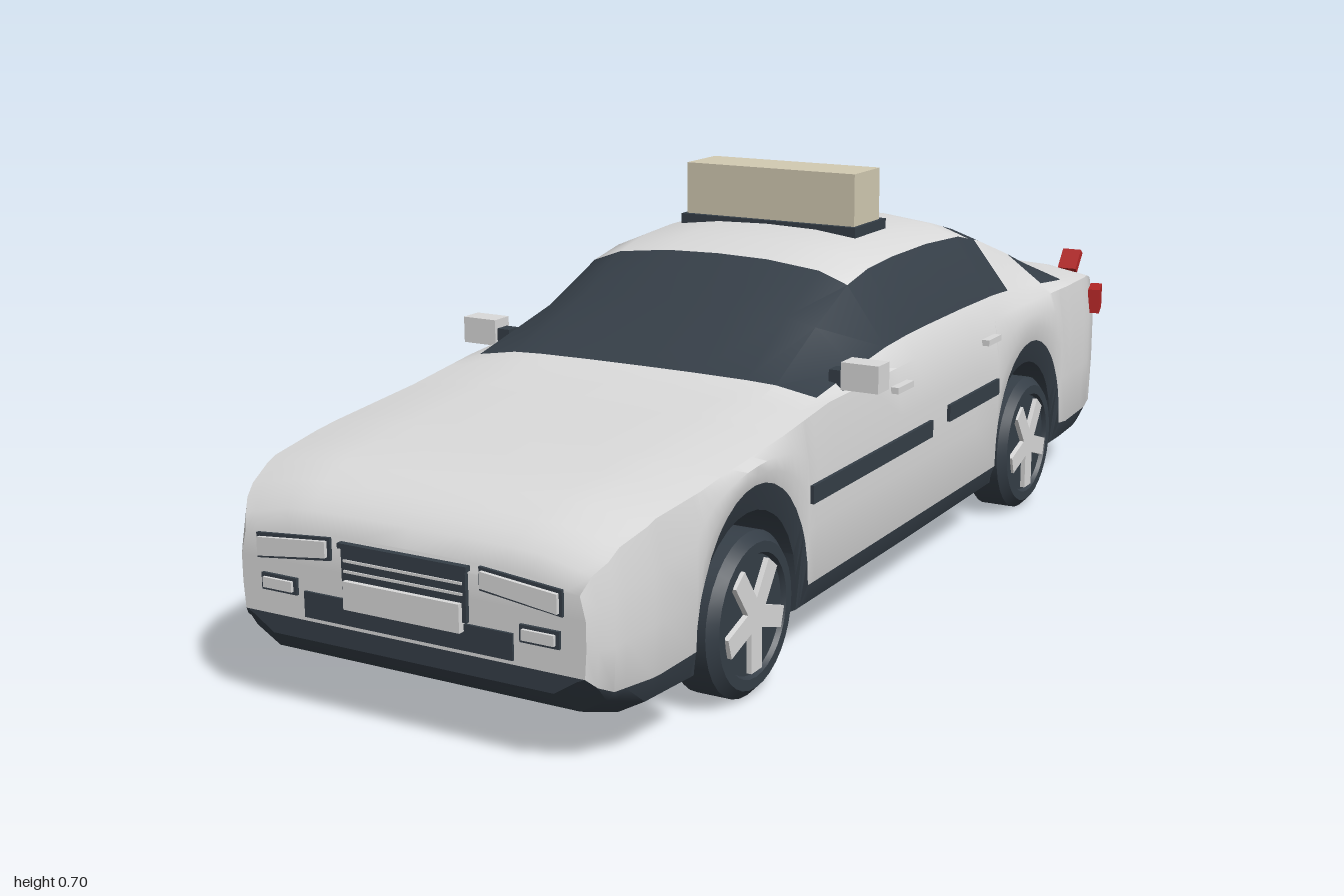
import * as THREE from 'three';
import { toCreasedNormals } from 'three/addons/utils/BufferGeometryUtils.js';

const mat = (name, color) => Object.assign(new THREE.MeshStandardMaterial({ color }), { name });

// Piecewise interpolation over [z, value] pairs, z ascending
function at(table, z) {
  let i = 1;
  while (i < table.length - 1 && z > table[i][0]) i++;
  const [z0, v0] = table[i - 1], [z1, v1] = table[i];
  return v0 + (v1 - v0) * THREE.MathUtils.clamp((z - z0) / (z1 - z0), 0, 1);
}

// Body profiles along the length
const WIDTH = [[-0.975, 0.315], [-0.95, 0.34], [-0.88, 0.355], [-0.75, 0.362], [0.75, 0.362], [0.88, 0.35], [0.95, 0.33], [0.985, 0.305]];
const BOTTOM = [[-0.975, 0.13], [-0.95, 0.09], [-0.86, 0.065], [0, 0.06], [0.88, 0.062], [0.95, 0.085], [0.985, 0.12]];
const TOP = [[-0.975, 0.39], [-0.95, 0.415], [-0.9, 0.425], [-0.85, 0.43], [-0.78, 0.445], [-0.65, 0.502], [-0.5, 0.562], [-0.4, 0.59],
  [-0.25, 0.601], [-0.1, 0.601], [0, 0.594], [0.08, 0.575], [0.2, 0.511], [0.34, 0.425], [0.4, 0.413], [0.5, 0.402], [0.7, 0.388],
  [0.86, 0.372], [0.93, 0.35], [0.97, 0.318], [0.985, 0.29]];
const BELT = [[-0.975, 0.365], [-0.95, 0.392], [-0.9, 0.405], [-0.5, 0.412], [0.34, 0.405], [0.5, 0.386], [0.7, 0.37], [0.86, 0.352], [0.93, 0.328], [0.97, 0.295], [0.985, 0.27]];
const AXLES = [0.6, -0.535];
const ARCH = 0.175, ARCH_IN = 0.16;

function archY(z, half, height) {
  let y = 0;
  for (const a of AXLES) {
    const d = (z - a) / half;
    if (Math.abs(d) < 1) y = 0.13 + height * Math.sqrt(1 - d * d);
  }
  return y;
}

// One half of the cross-section, from bottom centre to top centre
function section(z) {
  const w = at(WIDTH, z), b = at(BOTTOM, z), t = at(TOP, z), belt = at(BELT, z);
  const inner = archY(z, ARCH_IN, 0.16);
  const sill = Math.max(0.125, b + 0.03, archY(z, ARCH, 0.205));
  const floor = Math.max(b, inner), h = t - belt, k = w / 0.362;
  return [
    [0, floor], [0.82 * w, floor], [0.95 * w, Math.max(b + 0.025, inner)], [0.99 * w, sill],
    [w, sill + (belt - sill) * 0.35], [w, sill + (belt - sill) * 0.7], [0.97 * w, belt],
    [0.328 * k, belt + 0.2 * h], [0.255 * k, belt + 0.8 * h], [0.2 * k, belt + 0.92 * h], [0.1 * k, belt + 0.985 * h], [0, t],
  ];
}

function bodyGeometry() {
  let zs = [0.34, 0.08, -0.45, -0.48, -0.66, -0.78];
  for (const t of [WIDTH, TOP, BELT]) zs.push(...t.map(p => p[0]));
  for (const a of AXLES) {
    for (let i = 0; i <= 18; i++) zs.push(a - ARCH * Math.cos(i / 18 * Math.PI));
    for (const s of [-1, 1]) zs.push(a + s * 0.1605, a + s * 0.1595);
  }
  zs = zs.sort((p, q) => p - q).filter((z, i, all) => !i || z - all[i - 1] > 0.0004);
  const pos = [], faces = [[], []];
  for (const z of zs) {
    const half = section(z);
    const ring = [...half, ...half.slice(1, -1).reverse().map(([x, y]) => [-x, y])];
    for (const [x, y] of ring) pos.push(x, y, z);
  }
  const n = 22;
  // 0 is paint, 1 is dark trim and glass
  const colourOf = (j, z) => {
    if (j < 3) return 1;
    if (j === 7) return (z > -0.48 && z < 0.34) || (z > -0.78 && z < -0.66) ? 1 : 0;
    if (j > 7) return (z > 0.08 && z < 0.34) || (z > -0.78 && z < -0.45) ? 1 : 0;
    return 0;
  };
  for (let s = 0; s < zs.length - 1; s++) for (let i = 0; i < n; i++) {
    const j = i < 11 ? i : 21 - i, i2 = (i + 1) % n;
    const a = s * n + i, b = s * n + i2, c = b + n, d = a + n;
    faces[colourOf(j, (zs[s] + zs[s + 1]) / 2)].push(a, b, c, a, c, d);
  }
  // Nose and tail caps, laid in horizontal strips
  for (const [base, front] of [[0, false], [(zs.length - 1) * n, true]]) for (let j = 0; j < 11; j++) {
    const r0 = base + j, r1 = base + j + 1, l0 = base + (n - j) % n, l1 = base + n - j - 1;
    const tris = [[r0, r1, l1], [r0, l1, l0]];
    for (const [p, q, r] of tris) {
      if (new Set([p, q, r]).size === 3) faces[j < 3 ? 1 : 0].push(...(front ? [p, q, r] : [p, r, q]));
    }
  }
  const g = new THREE.BufferGeometry();
  g.setAttribute('position', new THREE.Float32BufferAttribute(pos, 3));
  g.setIndex([...faces[0], ...faces[1]]);
  g.addGroup(0, faces[0].length, 0);
  g.addGroup(faces[0].length, faces[1].length, 1);
  return toCreasedNormals(g, 0.65);
}

export function createModel() {
  const car = new THREE.Group();
  car.name = 'car';
  const paint = mat('white paint', 0xd9d9d9);
  const dark = mat('dark trim and glass', 0x353e47);
  const red = mat('red lamp', 0xb32626);
  const beige = mat('beige sign', 0xd2cab2);

  const add = (name, geo, m, parent = car) => {
    const mesh = new THREE.Mesh(geo, m);
    mesh.name = name;
    parent.add(mesh);
    return mesh;
  };
  // Box given by its limits on each axis
  const box = (name, m, [x0, x1], [y0, y1], [z0, z1]) => {
    const mesh = add(name, new THREE.BoxGeometry(x1 - x0, y1 - y0, z1 - z0), m);
    mesh.position.set((x0 + x1) / 2, (y0 + y1) / 2, (z0 + z1) / 2);
    return mesh;
  };
  const mirrored = (s, a, b) => s > 0 ? [a, b] : [-b, -a];

  add('body', bodyGeometry(), [paint, dark]);

  // Roof sign
  box('signBase', dark, [-0.18, 0.18], [0.585, 0.607], [-0.235, -0.105]);
  box('roofSign', beige, [-0.173, 0.173], [0.607, 0.702], [-0.22, -0.115]);

  // Grille, intake and front plate
  box('bumperIntake', dark, [-0.185, 0.185], [0.157, 0.197], [0.975, 0.989]);
  box('grille', dark, [-0.11, 0.11], [0.2, 0.278], [0.975, 0.992]);
  box('grilleLip', dark, [-0.114, 0.114], [0.276, 0.284], [0.97, 0.995]);
  for (const y of [0.242, 0.258]) box('grilleBar', paint, [-0.105, 0.105], [y - 0.002, y + 0.002], [0.985, 0.994]);
  box('frontPlate', paint, [-0.103, 0.103], [0.186, 0.229], [0.985, 1.0]);

  // Rear plate and bumper insert
  box('rearPlateFrame', dark, [-0.108, 0.108], [0.222, 0.278], [-0.981, -0.97]);
  box('rearPlate', paint, [-0.1, 0.1], [0.229, 0.271], [-0.986, -0.975]);
  box('rearBumperInsert', dark, [-0.26, 0.26], [0.15, 0.192], [-0.986, -0.965]);

  // Slanted headlamp outline, widened by a margin
  const lampGeo = (s, e, depth) => {
    const pts = [[0.137 - e, 0.257 - e], [0.265 + e, 0.241 - e], [0.265 + e, 0.27 + e], [0.137 - e, 0.282 + e]];
    return new THREE.ExtrudeGeometry(new THREE.Shape(pts.map(([x, y]) => new THREE.Vector2(x * s, y))), { depth, bevelEnabled: false });
  };

  for (const s of [1, -1]) {
    const side = s > 0 ? 'left' : 'right';
    const X = (a, b) => mirrored(s, a, b);
    add(side + 'HeadlampFrame', lampGeo(s, 0.005, 0.03), dark).position.z = 0.96;
    add(side + 'Headlamp', lampGeo(s, 0, 0.03), paint).position.z = 0.966;
    box(side + 'FogLampFrame', dark, X(0.198, 0.264), [0.188, 0.214], [0.975, 0.99]);
    box(side + 'FogLamp', paint, X(0.204, 0.258), [0.193, 0.209], [0.98, 0.995]);

    // Door mirrors, handles and mouldings
    box(side + 'Mirror', paint, X(0.34, 0.407), [0.41, 0.456], [0.235, 0.277]);
    box(side + 'MirrorStalk', dark, X(0.315, 0.342), [0.405, 0.44], [0.242, 0.27]);
    box(side + 'FrontMoulding', dark, X(0.355, 0.368), [0.26, 0.29], [-0.04, 0.425]);
    box(side + 'RearMoulding', dark, X(0.355, 0.368), [0.27, 0.3], [-0.35, -0.115]);
    box(side + 'FrontHandle', paint, X(0.345, 0.369), [0.37, 0.381], [0.05, 0.113]);
    box(side + 'RearHandle', paint, X(0.345, 0.369), [0.374, 0.385], [-0.35, -0.29]);

    // Tail lamps and the small raised lamps on the boot edge
    box(side + 'TailLamp', red, X(0.185, 0.312), [0.318, 0.372], [-0.986, -0.965]);
    const corner = box(side + 'CornerLamp', red, X(0.335, 0.359), [0.325, 0.375], [-0.977, -0.9]);
    corner.rotation.y = s * 0.27;
    const post = box(side + 'BootLamp', red, X(0.255, 0.295), [0.395, 0.443], [-0.985, -0.971]);
    post.rotation.x = -0.7;
  }

  // Wheels: bevelled tyre, recessed disc and five-spoke hub
  const tyreGeo = toCreasedNormals(new THREE.LatheGeometry([
    [0, -0.045], [0.11, -0.045], [0.13, -0.03], [0.13, 0.03], [0.115, 0.045], [0.098, 0.045], [0.094, 0.037], [0, 0.037],
  ].map(([x, y]) => new THREE.Vector2(x, y)), 32), 0.5);
  const spokeGeo = new THREE.BoxGeometry(0.034, 0.012, 0.088).translate(0, 0.04, 0.044);
  for (const z of AXLES) for (const s of [1, -1]) {
    const wheel = new THREE.Group();
    wheel.name = (z > 0 ? 'front' : 'rear') + (s > 0 ? 'Left' : 'Right') + 'Wheel';
    add('tyre', tyreGeo, dark, wheel);
    for (let i = 0; i < 5; i++) add('spoke', spokeGeo, paint, wheel).rotation.y = Math.PI / 2 + i * Math.PI * 0.4;
    wheel.rotation.z = -s * Math.PI / 2;
    wheel.position.set(s * 0.315, 0.13, z);
    car.add(wheel);
  }
  return car;
}
